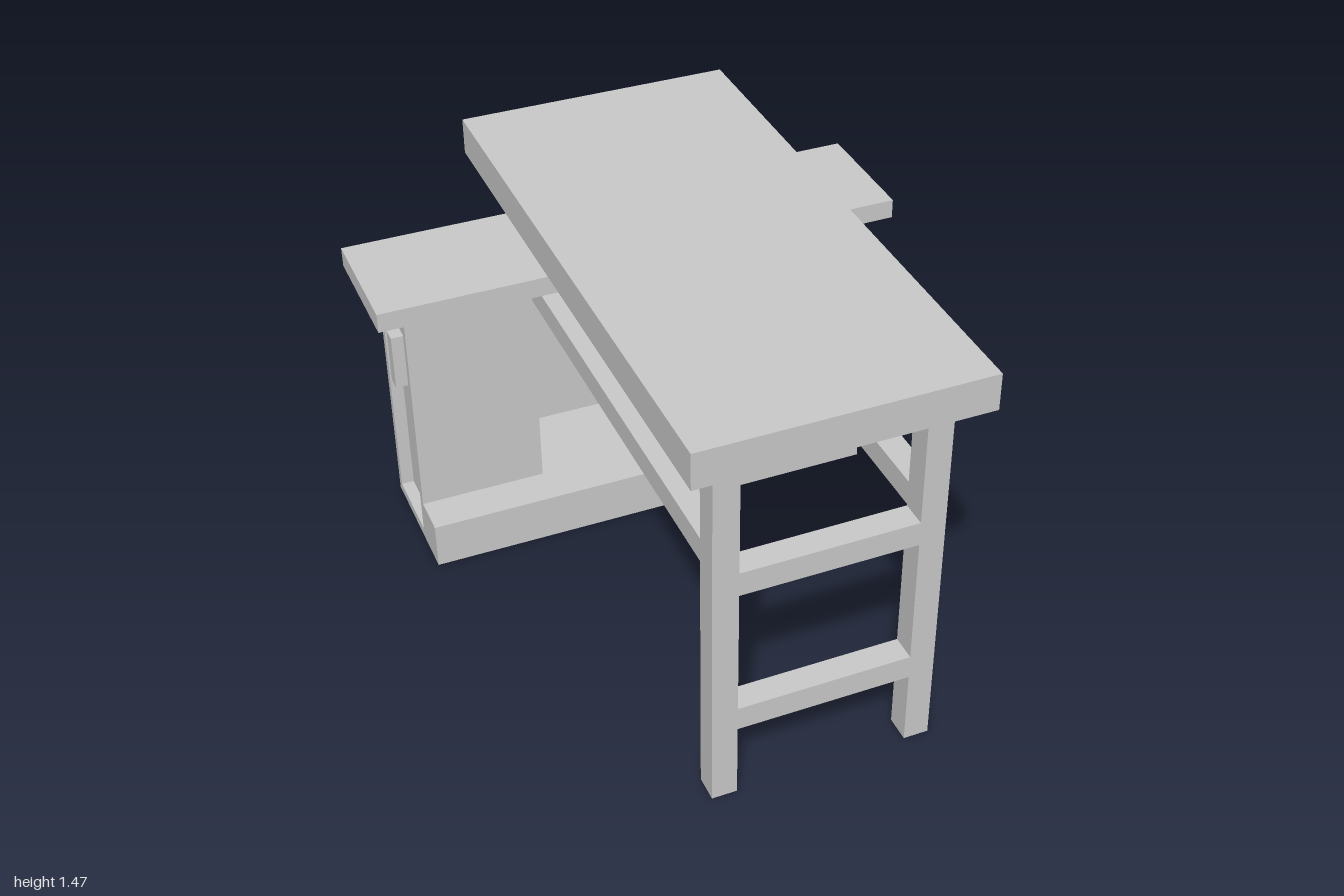
import * as THREE from 'three';

const material = new THREE.MeshStandardMaterial({ color: 0xcccccc, flatShading: true });

// Box given by its extents along each axis
function box(parent, name, [x0, x1], [y0, y1], [z0, z1]) {
  const mesh = new THREE.Mesh(new THREE.BoxGeometry(x1 - x0, y1 - y0, z1 - z0), material);
  mesh.position.set((x0 + x1) / 2, (y0 + y1) / 2, (z0 + z1) / 2);
  mesh.name = name;
  parent.add(mesh);
  return mesh;
}

// Rectangular outline in the (-z, y) plane
function rect(path, a0, a1, b0, b1) {
  path.moveTo(a0, b0);
  path.lineTo(a1, b0);
  path.lineTo(a1, b1);
  path.lineTo(a0, b1);
  path.closePath();
  return path;
}

// Frame around a recessed cabinet door, spanning x0..x1
function doorFrame(parent, x0, x1) {
  const shape = rect(new THREE.Shape(), 0.66, 1, 0, 1);
  shape.holes.push(rect(new THREE.Path(), 0.69, 0.97, 0.035, 0.975));
  const geometry = new THREE.ExtrudeGeometry(shape, { depth: x1 - x0, bevelEnabled: false });
  geometry.rotateY(Math.PI / 2);
  const mesh = new THREE.Mesh(geometry, material);
  mesh.position.x = x0;
  mesh.name = 'doorFrame';
  parent.add(mesh);
}

export function createModel() {
  const model = new THREE.Group();
  model.name = 'deskWithCabinets';

  // Long raised table top and the block carrying its back end
  box(model, 'tableTop', [-0.48, 0.46], [1.34, 1.465], [-1, 1]);
  box(model, 'rearSupport', [-0.29, 0.295], [1.07, 1.34], [-0.99, -0.905]);

  // Front legs, each with a rail running back into the knee hole
  for (const span of [[-0.375, -0.29], [0.295, 0.38]]) {
    box(model, 'frontLeg', span, [0.01, 1.34], [0.81, 0.9]);
    box(model, 'sideRail', span, [0.91, 0.995], [-0.985, 0.81]);
  }

  // Rungs between the front legs
  for (const span of [[0.28, 0.365], [0.82, 0.905]]) {
    box(model, 'rung', [-0.29, 0.295], span, [0.81, 0.9]);
  }

  // Counter, plinth step, and the floor and back wall of the knee hole
  box(model, 'counter', [-0.94, 0.935], [1, 1.07], [-1, -0.555]);
  box(model, 'plinth', [-0.83, 0.825], [0, 0.17], [-0.66, -0.515]);
  box(model, 'kneeHoleFloor', [-0.38, 0.385], [0, 0.17], [-1, -0.66]);
  box(model, 'backWall', [-0.38, 0.385], [0.17, 1], [-1, -0.985]);

  // Two cabinets with recessed end doors and handles
  const depth = 0.045;
  for (const [side, inner, outer] of [[-1, -0.38, -0.83], [1, 0.385, 0.825]]) {
    const cabinet = new THREE.Group();
    cabinet.name = side > 0 ? 'leftCabinet' : 'rightCabinet';
    const door = outer - side * depth;
    const span = (a, b) => [Math.min(a, b), Math.max(a, b)];
    box(cabinet, 'cabinetBody', span(inner, door), [0, 1], [-1, -0.66]);
    doorFrame(cabinet, ...span(door, outer));
    box(cabinet, 'doorHandle', span(door, outer), [0.53, 0.74], [-0.94, -0.885]);
    model.add(cabinet);
  }

  return model;
}
